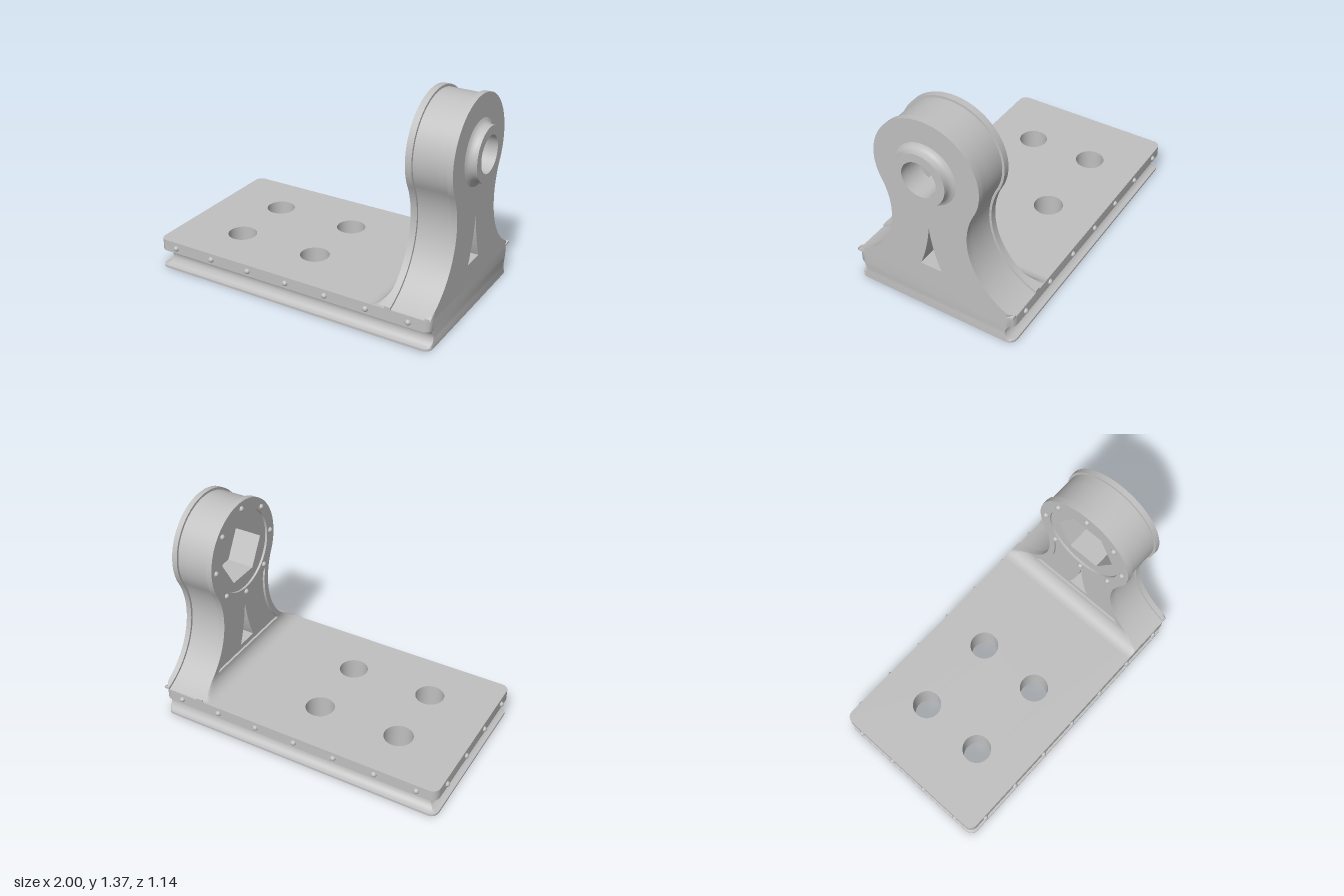
import * as THREE from 'three';
import { toCreasedNormals } from 'three/addons/utils/BufferGeometryUtils.js';

const X0 = -0.98, X1 = 0.94, ZH = 0.55, TOP = 0.2, EYE = 1.02, TILT = 0.473;
const WAIST = { z: 0.723, y: 0.65, r: 0.468 };

// Height of the flared upright outline at a given distance from the middle
const flare = (z) => WAIST.y - Math.sqrt(WAIST.r ** 2 - (WAIST.z - Math.abs(z)) ** 2);

// Keyhole-like outline of the upright: round head, narrow waist, flared foot
function outline(inset, zMax) {
  const R = WAIST.r + inset, d = Math.acos((WAIST.z - zMax) / R);
  const s = new THREE.Shape();
  s.moveTo(-zMax, 0.19);
  s.lineTo(zMax, 0.19);
  s.absarc(WAIST.z, WAIST.y, R, Math.PI + d, Math.PI - TILT, true);
  s.absarc(0, EYE, 0.345 - inset, -TILT, Math.PI + TILT, false);
  s.absarc(-WAIST.z, WAIST.y, R, TILT, -d, true);
  s.closePath();
  return s;
}

function circle(x, y, r) {
  return new THREE.Path().absarc(x, y, r, 0, Math.PI * 2, false);
}

function hexagon() {
  const pts = [];
  for (let i = 0; i < 6; i++) {
    const a = (i * Math.PI) / 3;
    pts.push(new THREE.Vector2(0.21 * Math.cos(a), EYE + 0.21 * Math.sin(a)));
  }
  return new THREE.Path(pts).closePath();
}

// Pointed window with concave sides
function spire() {
  const p = new THREE.Path();
  p.moveTo(-0.073, 0.335);
  p.lineTo(0.073, 0.335);
  p.quadraticCurveTo(0.02, 0.46, 0, 0.63);
  p.quadraticCurveTo(-0.02, 0.46, -0.073, 0.335);
  return p;
}

// Shallow panel following the waist below the head
function panel() {
  const p = new THREE.Path(), R = WAIST.r + 0.04, low = Math.asin(0.35 / R);
  p.moveTo(-0.355, 0.3);
  p.lineTo(0.355, 0.3);
  p.absarc(WAIST.z, WAIST.y, R, Math.PI + low, Math.PI - 0.255, true);
  p.absarc(0, EYE, 0.335, -0.81, -Math.PI + 0.81, true);
  p.absarc(-WAIST.z, WAIST.y, R, 0.255, -low, true);
  p.closePath();
  return p;
}

// Extrude a z-y shape along x
function slab(shape, xa, xb, holes = []) {
  shape.holes.push(...holes);
  const g = new THREE.ExtrudeGeometry(shape, { depth: xb - xa, bevelEnabled: false, curveSegments: 36 });
  g.rotateY(Math.PI / 2).translate(xa, 0, 0);
  return toCreasedNormals(g, 0.5);
}

// Rounded rectangle of the base, inset on every side except the +x end
function baseContour(d) {
  const r = Math.max(0.05 - d, 0.002), pts = [];
  const xs = [X1 - r, X0 + d + r, X0 + d + r, X1 - r], zc = ZH - d - r, zs = [zc, zc, -zc, -zc];
  for (let c = 0; c < 4; c++)
    for (let i = 0; i <= 6; i++) {
      const a = ((c + i / 6) * Math.PI) / 2;
      pts.push(new THREE.Vector2(xs[c] + r * Math.cos(a), zs[c] + r * Math.sin(a)));
    }
  return pts;
}

// Base side wall with a half-round groove
function baseWall() {
  const levels = [[0, 0], [0.015, 0]];
  for (let i = 1; i < 14; i++) {
    const a = (i / 14) * Math.PI;
    levels.push([0.07 - 0.055 * Math.cos(a), 0.055 * Math.sin(a)]);
  }
  levels.push([0.125, 0], [TOP, 0]);
  const pos = [], idx = [], n = 28;
  levels.forEach(([y, d], k) => {
    baseContour(d).forEach((p) => pos.push(p.x, y, p.y));
    if (k === 0) return;
    for (let i = 0; i < n; i++) {
      const a = (k - 1) * n + i, b = (k - 1) * n + ((i + 1) % n);
      idx.push(a, a + n, b, b, a + n, b + n);
    }
  });
  const g = new THREE.BufferGeometry();
  g.setAttribute('position', new THREE.Float32BufferAttribute(pos, 3));
  g.setIndex(idx);
  return toCreasedNormals(g, 0.6);
}

// Concave fillet between base and upright, trimmed to the flared outline
function filletGeometry() {
  const pos = [], idx = [], nz = 60, na = 10;
  for (let i = 0; i <= nz; i++) {
    const z = -ZH + (2 * ZH * i) / nz;
    const limit = Math.abs(z) > 0.3 ? flare(z) : 1;
    for (let j = 0; j <= na; j++) {
      const a = (j / na) * Math.PI / 2;
      pos.push(0.55 + 0.1 * Math.sin(a), Math.min(TOP + 0.1 - 0.1 * Math.cos(a), limit), z);
      if (i < nz && j < na) {
        const k = i * (na + 1) + j;
        idx.push(k, k + na + 1, k + 1, k + 1, k + na + 1, k + na + 2);
      }
    }
  }
  const g = new THREE.BufferGeometry();
  g.setAttribute('position', new THREE.Float32BufferAttribute(pos, 3));
  g.setIndex(idx);
  return toCreasedNormals(g, 0.5);
}

// Thin foot end of the outer flange, following the rounded base corner
function footTip(side) {
  const pts = [new THREE.Vector2(side * 0.55, TOP), new THREE.Vector2(side * 0.5, TOP)];
  for (let i = 0; i <= 6; i++) {
    const z = 0.5 + (0.05 * i) / 6;
    pts.push(new THREE.Vector2(side * z, flare(z)));
  }
  const g = slab(new THREE.Shape(pts), 0.905, X1), p = g.attributes.position;
  for (let i = 0; i < p.count; i++) {
    const dz = Math.min(Math.max(Math.abs(p.getZ(i)) - 0.5, 0), 0.05);
    const limit = Math.max(0.906, 0.89 + Math.sqrt(0.0025 - dz * dz));
    if (p.getX(i) > limit) p.setX(i, limit);
  }
  return toCreasedNormals(g, 0.5);
}

export function createModel() {
  const model = new THREE.Group();
  model.name = 'bearingBracket';
  const grey = new THREE.MeshStandardMaterial({ color: 0xc0c0c0, side: THREE.DoubleSide });
  grey.name = 'grey';
  const add = (name, geometry) => {
    const m = new THREE.Mesh(geometry, grey);
    m.name = name;
    model.add(m);
    return m;
  };

  // Base plate with four through holes
  const plate = new THREE.Shape(baseContour(0));
  for (const x of [-0.57, -0.02])
    for (const z of [-0.22, 0.22]) {
      plate.holes.push(circle(x, z, 0.092));
      add('baseHole', new THREE.CylinderGeometry(0.092, 0.092, TOP, 48, 1, true)).position.set(x, TOP / 2, z);
    }
  add('baseWall', baseWall());
  add('baseTop', new THREE.ShapeGeometry(plate, 24).rotateX(-Math.PI / 2).translate(0, TOP, 0));
  add('baseBottom', new THREE.ShapeGeometry(plate, 24).rotateX(Math.PI / 2));

  // Upright, layered from the inner face to the outer face
  const bore = () => circle(0, EYE, 0.113);
  add('innerFace', slab(outline(0, ZH), 0.65, 0.665, [circle(0, EYE, 0.27), panel()]));
  add('innerFlange', slab(outline(0, ZH), 0.665, 0.69, [hexagon(), spire()]));
  add('hexPocketWeb', slab(outline(0.015, 0.545), 0.69, 0.85, [hexagon(), spire()]));
  add('boreWeb', slab(outline(0.015, 0.545), 0.85, 0.905, [bore(), spire()]));
  add('outerFlange', slab(outline(0, 0.5), 0.905, X1, [bore(), spire()]));
  for (const side of [-1, 1]) add('flangeFootTip', footTip(side));
  add('fillet', filletGeometry());

  // Bearing boss with a flared root
  const profile = [[0.2, 0], [0.186, 0.006], [0.175, 0.016], [0.168, 0.032], [0.168, 0.06], [0.113, 0.06], [0.113, 0]];
  const boss = new THREE.LatheGeometry(profile.map(([r, h]) => new THREE.Vector2(r, h)), 64);
  add('boss', toCreasedNormals(boss.rotateZ(-Math.PI / 2).translate(X1, EYE, 0), 0.6));

  // Rivets along the base edges and around the head
  const ball = new THREE.SphereGeometry(0.018, 16, 12);
  const rivet = (x, y, z) => add('rivet', ball).position.set(x, y, z);
  for (let i = 0; i < 7; i++) for (const z of [-ZH, ZH]) rivet(-0.85 + i * 0.2757, 0.16, z);
  for (const z of [-0.41, -0.137, 0.137, 0.41]) rivet(X0, 0.16, z);
  for (let i = 0; i < 8; i++) {
    const a = (i * Math.PI) / 4;
    rivet(0.65, EYE + 0.3 * Math.sin(a), 0.3 * Math.cos(a));
  }
  return model;
}
